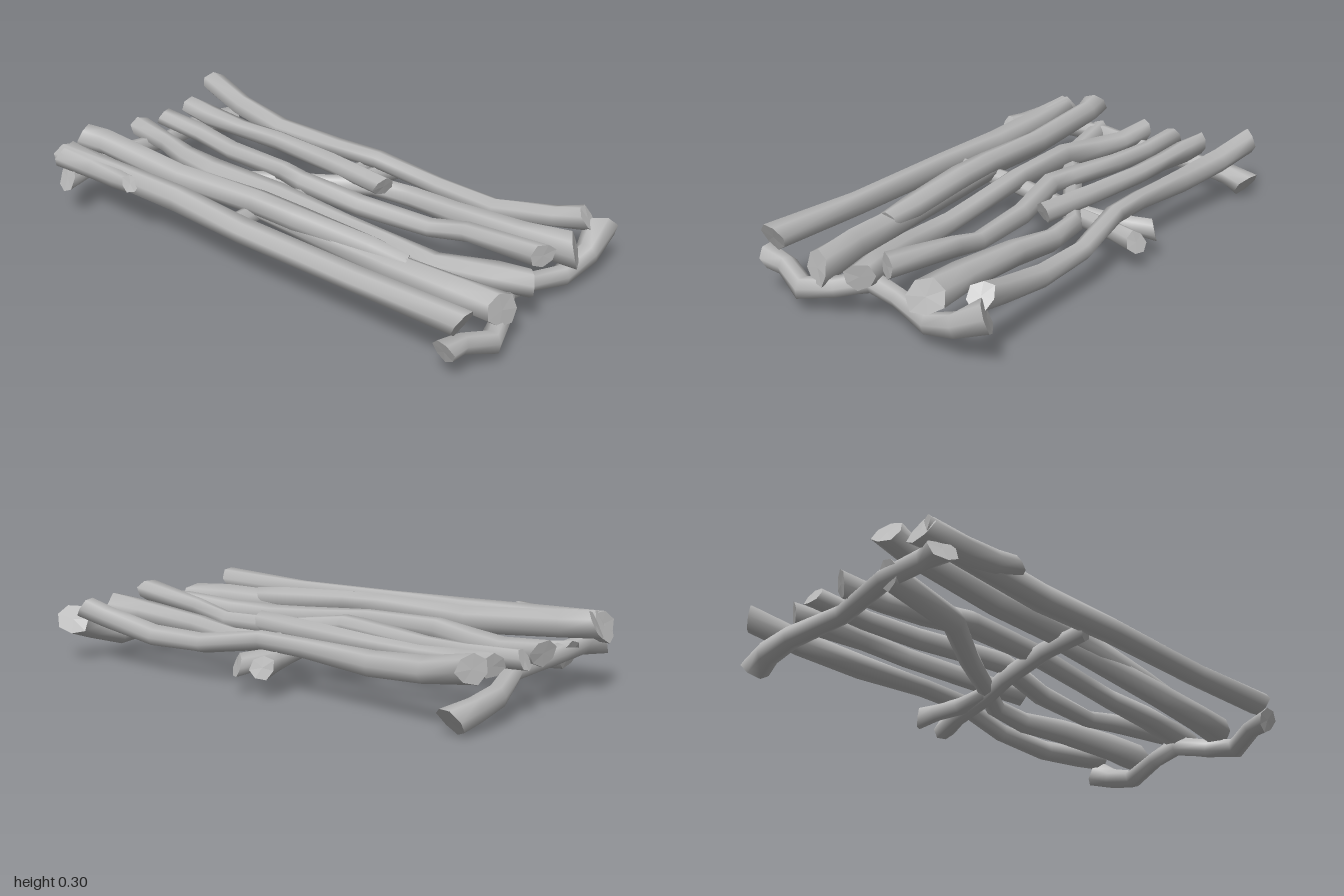
import * as THREE from 'three';
import { mergeGeometries } from 'three/addons/utils/BufferGeometryUtils.js';

const SIDES = 7;
const UP = new THREE.Vector3(0, 1, 0);

// Builds an indexed piece with its own smooth normals.
function piece(points, index) {
  const g = new THREE.BufferGeometry().setFromPoints(points);
  g.setIndex(index);
  g.computeVertexNormals();
  return g;
}

// Sweeps a rough ring along [x, y, z, radius] stations, with slanted, broken ends.
function branchGeometry(stations, seed) {
  const path = stations.map(s => new THREE.Vector3(s[0], s[1], s[2]));
  const last = path.length - 1;
  const points = [], index = [];
  path.forEach((p, k) => {
    const t = path[Math.min(k + 1, last)].clone().sub(path[Math.max(k - 1, 0)]).normalize();
    const u = new THREE.Vector3().crossVectors(UP, t).normalize();
    const v = new THREE.Vector3().crossVectors(t, u);
    const isEnd = k === 0 || k === last;
    for (let i = 0; i < SIDES; i++) {
      const a = (i / SIDES) * Math.PI * 2 + seed;
      const r = stations[k][3] * (1 + 0.08 * Math.sin(i * 2.7 + k * 1.3 + seed));
      const shift = isEnd ? 0.5 * stations[k][3] * Math.cos(a + seed * 5 + k) : 0;
      points.push(p.clone().addScaledVector(u, Math.cos(a) * r)
        .addScaledVector(v, Math.sin(a) * r).addScaledVector(t, shift));
    }
  });
  for (let k = 0; k < last; k++) {
    for (let i = 0; i < SIDES; i++) {
      const a = k * SIDES + i, b = k * SIDES + (i + 1) % SIDES;
      index.push(a, b, a + SIDES, b, b + SIDES, a + SIDES);
    }
  }
  const parts = [piece(points, index)];
  // faceted end caps
  for (let i = 0; i < SIDES; i++) {
    const j = (i + 1) % SIDES, e = last * SIDES;
    parts.push(piece([path[0], points[j], points[i]], [0, 1, 2]));
    parts.push(piece([path[last], points[e + i], points[e + j]], [0, 1, 2]));
  }
  return mergeGeometries(parts);
}

const BRANCHES = {
  // lengthwise branches, right to left
  outerRightBranch: [[-0.435, 0.228, 0.92, 0.052], [-0.43, 0.22, 0.5, 0.047], [-0.43, 0.225, 0, 0.047],
    [-0.405, 0.23, -0.34, 0.05], [-0.415, 0.235, -0.65, 0.05], [-0.43, 0.24, -0.92, 0.052]],
  outerRightStub: [[-0.47, 0.255, -0.53, 0.032], [-0.45, 0.24, -0.62, 0.04], [-0.435, 0.235, -0.75, 0.05],
    [-0.43, 0.235, -0.93, 0.058]],
  upperRightBranch: [[-0.235, 0.215, 0.56, 0.035], [-0.235, 0.22, 0.42, 0.047], [-0.255, 0.235, 0.1, 0.05],
    [-0.26, 0.24, -0.08, 0.05], [-0.275, 0.228, -0.45, 0.05], [-0.28, 0.255, -0.85, 0.05],
    [-0.305, 0.262, -0.965, 0.052]],
  lowerRightBranch: [[-0.22, 0.175, 0.94, 0.06], [-0.235, 0.185, 0.75, 0.057], [-0.245, 0.19, 0.5, 0.052],
    [-0.25, 0.2, 0.2, 0.045], [-0.255, 0.21, -0.1, 0.035]],
  middleRightBranch: [[-0.035, 0.185, 0.94, 0.048], [-0.065, 0.18, 0.82, 0.052], [-0.11, 0.165, 0.6, 0.045],
    [-0.1, 0.175, 0.38, 0.038], [-0.11, 0.185, 0.2, 0.04], [-0.12, 0.208, -0.1, 0.042],
    [-0.13, 0.205, -0.42, 0.047], [-0.09, 0.19, -0.6, 0.045], [-0.045, 0.19, -0.75, 0.04],
    [-0.025, 0.2, -0.92, 0.047]],
  middleLeftBranch: [[0.066, 0.24, 0.92, 0.045], [0.092, 0.205, 0.6, 0.038], [0.08, 0.17, 0.45, 0.036],
    [0.055, 0.17, 0.15, 0.04], [0.02, 0.205, -0.1, 0.04], [0.04, 0.205, -0.2, 0.04],
    [0.07, 0.185, -0.5, 0.04], [0.10, 0.19, -0.7, 0.038], [0.11, 0.2, -0.93, 0.037]],
  diagonalBranch: [[0.245, 0.19, 0.95, 0.062], [0.235, 0.18, 0.75, 0.055], [0.24, 0.165, 0.45, 0.047],
    [0.26, 0.15, 0.25, 0.042], [0.24, 0.15, 0.08, 0.038], [0.14, 0.155, -0.07, 0.035],
    [0, 0.15, -0.3, 0.04], [-0.18, 0.14, -0.55, 0.045], [-0.24, 0.16, -0.9, 0.05]],
  upperLeftBranch: [[0.17, 0.208, 0.17, 0.04], [0.21, 0.205, -0.1, 0.04], [0.24, 0.2, -0.4, 0.038],
    [0.235, 0.195, -0.6, 0.036], [0.24, 0.195, -0.78, 0.045], [0.255, 0.2, -0.9, 0.042]],
  outerLeftBranch: [[0.422, 0.22, 0.9, 0.047], [0.41, 0.19, 0.78, 0.042], [0.395, 0.143, 0.53, 0.04],
    [0.40, 0.148, 0.27, 0.037], [0.37, 0.19, 0, 0.037], [0.36, 0.185, -0.2, 0.037],
    [0.37, 0.172, -0.5, 0.045], [0.41, 0.19, -0.75, 0.047], [0.452, 0.23, -0.95, 0.05]],
  // crosswise branches
  frontCrossBranch: [[-0.485, 0.135, 0.89, 0.045], [-0.4, 0.125, 0.9, 0.038], [-0.285, 0.088, 0.945, 0.042],
    [-0.17, 0.105, 0.91, 0.037], [-0.06, 0.128, 0.85, 0.04], [0.07, 0.11, 0.87, 0.036],
    [0.23, 0.08, 0.915, 0.04], [0.36, 0.12, 0.94, 0.045], [0.465, 0.17, 0.93, 0.06]],
  backCrossBranch: [[-0.475, 0.17, -0.88, 0.055], [-0.38, 0.17, -0.87, 0.038], [-0.2, 0.165, -0.88, 0.038],
    [0.05, 0.14, -0.85, 0.036], [0.25, 0.1, -0.91, 0.04], [0.38, 0.08, -0.91, 0.045], [0.475, 0.06, -0.89, 0.055]],
  middleCrossBranch: [[-0.39, 0.2, -0.1, 0.035], [-0.2, 0.18, -0.11, 0.035], [0.02, 0.15, -0.085, 0.035],
    [0.16, 0.14, -0.04, 0.036], [0.36, 0.12, -0.01, 0.036], [0.475, 0.11, 0.025, 0.04]],
  middleCrossTwig: [[0.12, 0.15, -0.05, 0.03], [0.3, 0.13, -0.06, 0.034], [0.4, 0.125, -0.085, 0.034],
    [0.48, 0.12, -0.1, 0.042]],
};

export function createModel() {
  const model = new THREE.Group();
  model.name = 'branchRaft';
  const wood = new THREE.MeshStandardMaterial({ color: 0xb8b8b8 });
  wood.name = 'grey wood';
  Object.entries(BRANCHES).forEach(([name, stations], n) => {
    const mesh = new THREE.Mesh(branchGeometry(stations, n * 0.7 + 0.3), wood);
    mesh.name = name;
    model.add(mesh);
  });
  return model;
}
